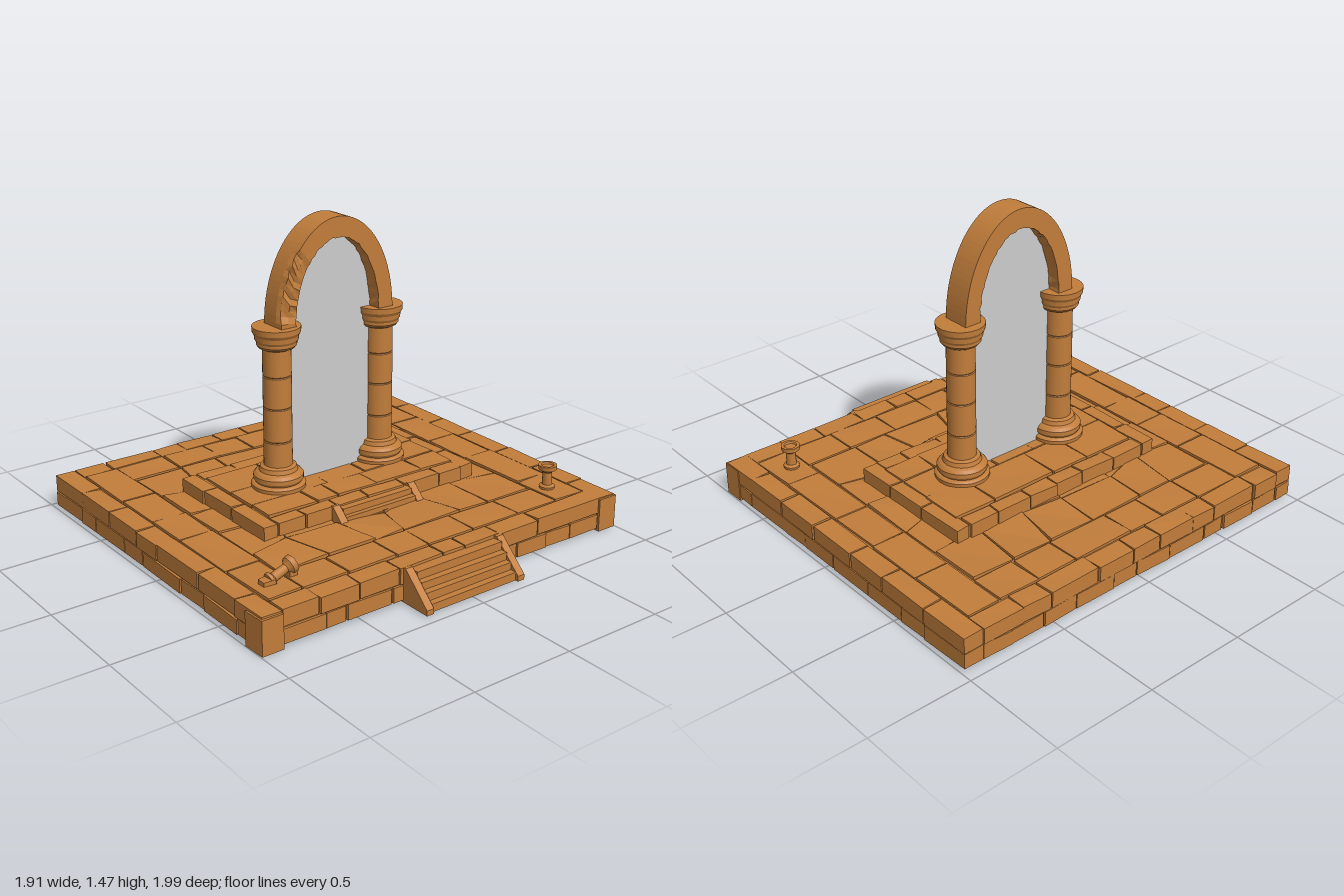
import * as THREE from 'three';
import { mergeGeometries } from 'three/addons/utils/BufferGeometryUtils.js';

const stone = new THREE.MeshStandardMaterial({ color: 0xc17d3b, flatShading: true });
const smoothStone = new THREE.MeshStandardMaterial({ color: 0xc17d3b });
const paneMaterial = new THREE.MeshStandardMaterial({ color: 0xcccccc, side: THREE.DoubleSide });

export function createModel() {
  const model = new THREE.Group();
  let seed = 7;
  const rand = () => (seed = (seed * 16807) % 2147483647) / 2147483647;
  const jit = (a) => (rand() - 0.5) * 2 * a;

  const add = (name, geometries, material = stone) => {
    const flat = geometries.map((g) => (g.index && material === stone ? g.toNonIndexed() : g));
    const geometry = flat.length > 1 ? mergeGeometries(flat) : flat[0];
    if (material === stone) geometry.computeVertexNormals();
    const mesh = new THREE.Mesh(geometry, material);
    mesh.name = name;
    model.add(mesh);
    return mesh;
  };

  // Four-cornered stone; corners in order (-x-z, +x-z, -x+z, +x+z)
  const quadBlock = (corners, y0, y1, rough = 0.003) => {
    const g = new THREE.BoxGeometry(1, 1, 1);
    const p = g.attributes.position;
    const tops = corners.map(() => y1 + jit(rough));
    for (let i = 0; i < p.count; i++) {
      const k = (p.getX(i) > 0 ? 1 : 0) + (p.getZ(i) > 0 ? 2 : 0);
      p.setXYZ(i, corners[k][0], p.getY(i) > 0 ? tops[k] : y0, corners[k][1]);
    }
    return g;
  };
  const block = (x0, x1, z0, z1, y0, y1, j = 0.004) =>
    quadBlock([[x0, z0], [x1, z0], [x0, z1], [x1, z1]].map(([x, z]) => [x + jit(j), z + jit(j)]), y0, y1);

  // Row of n uneven blocks along the longer direction of a rectangle
  const row = (x0, x1, z0, z1, y0, y1, n) => {
    const alongX = x1 - x0 > z1 - z0;
    const [a, b] = alongX ? [x0, x1] : [z0, z1];
    const cuts = [];
    for (let i = 0; i <= n; i++) cuts.push(a + ((b - a) * (i + (i % n ? jit(0.25) : 0))) / n);
    const out = [];
    for (let i = 0; i < n; i++) {
      const s = cuts[i] + 0.003, e = cuts[i + 1] - 0.003;
      out.push(alongX ? block(s, e, z0, z1, y0, y1) : block(x0, x1, s, e, y0, y1));
    }
    return out;
  };
  // Rectangular ring of blocks
  const ring = (x0, x1, z0, z1, w, y0, y1, nx, nz) => [
    ...row(x0, x1, z0, z0 + w - 0.004, y0, y1, nx), ...row(x0, x1, z1 - w + 0.004, z1, y0, y1, nx),
    ...row(x0, x0 + w - 0.004, z0 + w, z1 - w, y0, y1, nz), ...row(x1 - w + 0.004, x1, z0 + w, z1 - w, y0, y1, nz),
  ];

  // Platform: core, two courses of edge blocks, paved floor
  add('platformCore', [block(-0.94, 0.79, -0.98, 0.98, 0.02, 0.162, 0)]);
  add('lowerCourse', ring(-0.95, 0.8, -0.99, 0.99, 0.1, 0.022, 0.092, 8, 10));
  add('upperCourse', ring(-0.95, 0.8, -0.99, 0.99, 0.1, 0.097, 0.172, 7, 9));
  add('cornerBlocks', [-1, 1].map((s) =>
    block(0.7, 0.808, s * 0.945 - 0.052, s * 0.945 + 0.052, 0.005, 0.165)));
  add('floorBorder', ring(-0.845, 0.695, -0.885, 0.885, 0.17, 0.12, 0.174, 5, 6));

  // Irregular flagstones sharing a jittered grid of corners
  const nx = 5, nz = 6, grid = [];
  for (let k = 0; k <= nz; k++) for (let i = 0; i <= nx; i++) {
    const ex = i % nx ? 0.05 : 0, ez = k % nz ? 0.05 : 0;
    grid.push([-0.67 + (1.19 * i) / nx + jit(ex), -0.71 + (1.42 * k) / nz + jit(ez)]);
  }
  const flags = [];
  for (let k = 0; k < nz; k++) for (let i = 0; i < nx; i++) {
    const q = [0, 1, nx + 1, nx + 2].map((o) => grid[k * (nx + 1) + i + o]);
    const cx = q.reduce((s, c) => s + c[0], 0) / 4, cz = q.reduce((s, c) => s + c[1], 0) / 4;
    flags.push(quadBlock(q.map(([x, z]) => [cx + (x - cx) * 0.975, cz + (z - cz) * 0.975]), 0.12, 0.174, 0.007));
  }
  add('flagstones', flags);

  // Raised dais under the arch
  add('daisCore', [block(-0.42, 0.24, -0.59, 0.59, 0.16, 0.232, 0)]);
  add('daisBorder', ring(-0.43, 0.25, -0.6, 0.6, 0.075, 0.16, 0.238, 3, 6));
  add('daisPaving', [
    ...row(-0.352, -0.14, -0.54, 0.52, 0.2, 0.245, 4),
    ...row(-0.136, 0.03, -0.54, 0.52, 0.2, 0.245, 3),
    ...row(0.034, 0.172, -0.54, 0.52, 0.2, 0.245, 5),
  ]);

  // Stairs with sloping cheek stones, running out towards +x
  const stairs = (name, x0, x1, flatX, y0, y1, toe, halfWidth, cheek, steps) => {
    const shape = new THREE.Shape([[x0, y0], [x1, y0], [x1, y0 + toe], [flatX, y1], [x0, y1]]
      .map(([x, y]) => new THREE.Vector2(x, y)));
    add(name + 'Cheeks', [-1, 1].map((s) =>
      new THREE.ExtrudeGeometry(shape, { depth: cheek, bevelEnabled: false })
        .translate(0, 0, s > 0 ? halfWidth - cheek : -halfWidth)));
    const treads = [];
    for (let i = 0; i < steps; i++) {
      const end = flatX + ((x1 - 0.015 - flatX) * (i + 1)) / steps;
      treads.push(block(x0, end, cheek - halfWidth, halfWidth - cheek,
        y0, y1 - 0.012 - ((y1 - y0 - 0.012) * i) / steps, 0.002));
    }
    add(name + 'Treads', treads);
  };
  stairs('frontStairs', 0.78, 0.957, 0.815, 0.012, 0.172, 0.025, 0.275, 0.037, 4);
  stairs('daisStairs', 0.24, 0.325, 0.255, 0.165, 0.24, 0.01, 0.235, 0.038, 2);

  // Lathe turned with hard edges: one smooth band per profile segment
  const turned = (profile, sides) => mergeGeometries(profile.slice(1).map((p, i) =>
    new THREE.LatheGeometry([profile[i], p].map(([r, y]) => new THREE.Vector2(r, y)), sides)));

  // Columns: moulded base, shaft with drum joints, flared capital
  const column = [[0, 0.235], [0.125, 0.235], [0.127, 0.262], [0.118, 0.27], [0.108, 0.272], [0.116, 0.285],
    [0.116, 0.305], [0.104, 0.318], [0.09, 0.325], [0.084, 0.345], [0.067, 0.352]];
  for (const y of [0.47, 0.63, 0.78]) column.push([0.066, y - 0.004], [0.063, y], [0.066, y + 0.004]);
  column.push([0.065, 0.905], [0.083, 0.913], [0.092, 0.925], [0.092, 0.938], [0.099, 0.95],
    [0.101, 0.97], [0.11, 0.985], [0.111, 1.01], [0, 1.01]);
  for (const s of [-1, 1]) {
    add(s > 0 ? 'frontColumn' : 'backColumn', [turned(column, 32)], smoothStone).position.set(-0.087, 0, s * 0.29);
  }

  // Arch: a bar bent along a half ellipse, chipped on the inner rim and one flank
  const arch = new THREE.BoxGeometry(0.135, 1, 2, 3, 2, 48);
  const p = arch.attributes.position;
  const hash = (a, b, c) => {
    const n = Math.sin(a * 91.7 + b * 47.3 + c * 153.1) * 4375.5;
    return n - Math.floor(n);
  };
  for (let i = 0; i < p.count; i++) {
    const x = p.getX(i), v = p.getY(i) + 0.5, t = (p.getZ(i) * Math.PI) / 2;
    const h = hash(x, v, t);
    const worn = v < 0.1 ? h * 0.007 : 0;
    const chip = x > 0.06 && t > 0.75 && t < 1.45 ? h * 0.02 * (v > 0.9 ? 1.3 : 0.7) : 0;
    p.setXYZ(i, x - 0.083 - chip,
      1.0 + (0.385 + 0.09 * v - worn) * Math.cos(t),
      (0.235 + 0.077 * v - worn - chip * 0.4) * Math.sin(t));
  }
  add('arch', [arch]);

  // Thin pane filling the opening
  const pane = new THREE.Shape();
  pane.moveTo(-0.235, 0.24);
  pane.lineTo(0.235, 0.24);
  pane.lineTo(0.235, 1.0);
  pane.absellipse(0, 1.0, 0.235, 0.385, 0, Math.PI, false);
  add('archPane', [new THREE.ShapeGeometry(pane, 24).rotateY(-Math.PI / 2).translate(-0.083, 0, 0)], paneMaterial);

  // Small posts: one upright, one toppled and broken
  const post = [[0, 0], [0.036, 0], [0.038, 0.012], [0.024, 0.02], [0.022, 0.08], [0.03, 0.087],
    [0.043, 0.095], [0.044, 0.116], [0.03, 0.116], [0.026, 0.108], [0, 0.108]];
  add('uprightPost', [turned(post, 14)], smoothStone).position.set(0.567, 0.174, -0.785);
  const fallen = add('fallenPost', [turned(post.map(([r, y]) => [r * 0.9, y * 1.15]), 10)], smoothStone);
  fallen.position.set(0.575, 0.182, 0.8);
  fallen.rotation.set(-1.25, 0, 0.06);
  add('rubble', [
    block(0.555, 0.6, 0.79, 0.838, 0.168, 0.195, 0.008),
    block(0.535, 0.585, 0.665, 0.71, 0.168, 0.2, 0.008),
  ]);

  return model;
}
